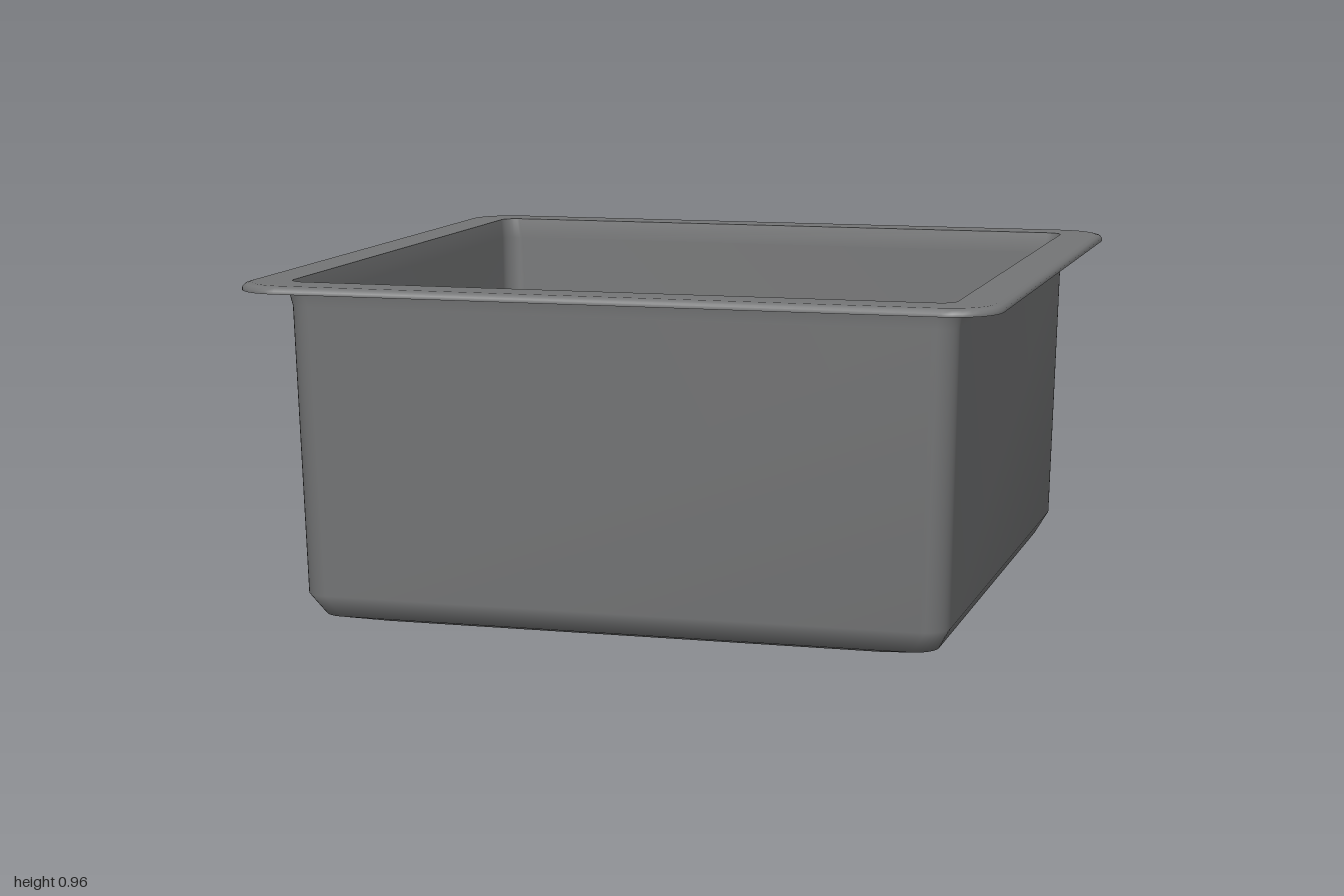
import * as THREE from 'three';
import { mergeVertices } from 'three/addons/utils/BufferGeometryUtils.js';

const ARC = 8; // segments per rounded corner

// Rounded square outline: half width h, corner radius r, height y
function ring([h, y, r]) {
  const pts = [];
  for (let c = 0; c < 4; c++) {
    const mid = (c + 0.5) * Math.PI / 2;
    const cx = Math.sign(Math.cos(mid)) * (h - r);
    const cz = Math.sign(Math.sin(mid)) * (h - r);
    for (let i = 0; i <= ARC; i++) {
      const a = (c + i / ARC) * Math.PI / 2;
      pts.push(cx + r * Math.cos(a), y, cz + r * Math.sin(a));
    }
  }
  return pts;
}

// Skin a list of [halfWidth, y, cornerRadius] outlines with smooth normals
function loft(profile) {
  const n = 4 * (ARC + 1);
  const index = [];
  for (let k = 0; k < profile.length - 1; k++) {
    for (let i = 0; i < n; i++) {
      const a = k * n + i, b = k * n + (i + 1) % n;
      index.push(a, a + n, b, b, a + n, b + n);
    }
  }
  const geo = new THREE.BufferGeometry();
  geo.setAttribute('position', new THREE.Float32BufferAttribute(profile.flatMap(ring), 3));
  geo.setIndex(index);
  const merged = mergeVertices(geo, 1e-5);
  merged.computeVertexNormals();
  return merged;
}

export function createModel() {
  const model = new THREE.Group();
  model.name = 'sink';

  const body = new THREE.MeshStandardMaterial({ color: 0x747576, side: THREE.DoubleSide });
  body.name = 'dark grey';
  const metal = new THREE.MeshStandardMaterial({ color: 0xb9bbbb, side: THREE.DoubleSide });
  metal.name = 'light grey';

  const add = (name, geometry, material) => {
    const mesh = new THREE.Mesh(geometry, material);
    mesh.name = name;
    model.add(mesh);
  };

  // Flat rim with a softened outer edge
  add('rimUnderside', loft([[0.88, 0.937, 0.05], [1, 0.937, 0.13]]), body);
  add('rimTop', loft([
    [1, 0.937, 0.13], [1, 0.945, 0.13], [0.993, 0.953, 0.125],
    [0.98, 0.957, 0.12], [0.88, 0.957, 0.045],
  ]), body);

  // Inside of the bowl, from the rim down to the drain
  add('basinInside', loft([
    [0.88, 0.957, 0.045], [0.872, 0.9, 0.05], [0.853, 0.13, 0.06],
    [0.82, 0.07, 0.06], [0.72, 0.042, 0.06], [0.17, 0.033, 0.17], [0.122, 0.021, 0.122],
  ]), body);

  // Outside of the bowl, from the drain up to the rim
  add('basinOutside', loft([
    [0.11, 0.016, 0.11], [0.17, 0.022, 0.17], [0.73, 0.032, 0.06],
    [0.83, 0.06, 0.065], [0.865, 0.12, 0.065], [0.884, 0.89, 0.06], [0.893, 0.938, 0.06],
  ]), body);

  // Shallow drain cup
  const cup = [[0, 0], [0.075, 0.003], [0.105, 0.013], [0.125, 0.023]]
    .map(([r, y]) => new THREE.Vector2(r, y));
  add('drain', new THREE.LatheGeometry(cup, 48), metal);

  return model;
}
